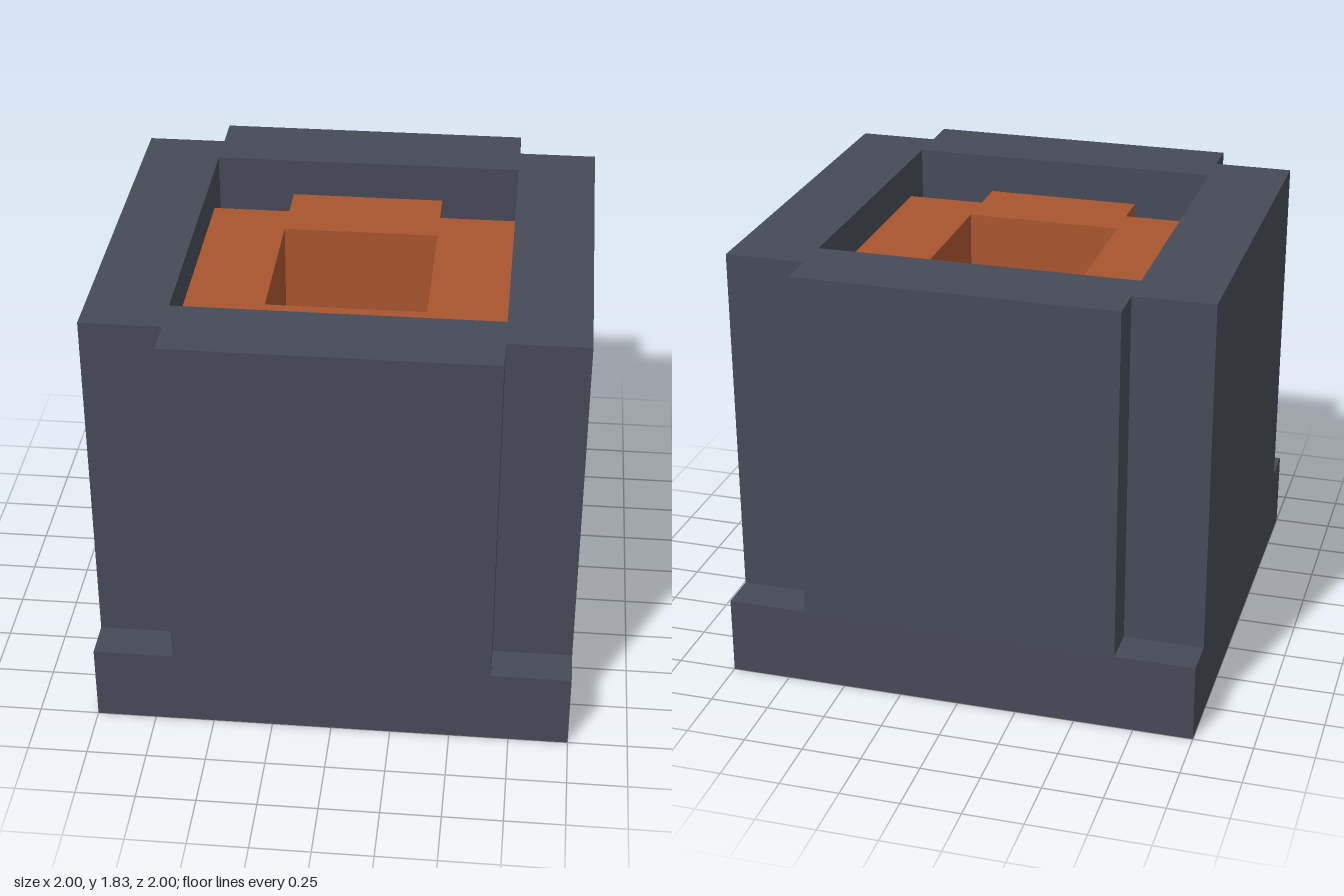
import * as THREE from 'three';

const U = 1 / 6; // model grid unit

// Plus-like outline: a rectangle of half size (w, d) with a (nx, nz) notch in each corner
function notchedShape(w, d, nx, nz, hole) {
  const a = w - nx, b = d - nz;
  const shape = new THREE.Shape([
    [-a, -d], [a, -d], [a, -b], [w, -b], [w, b], [a, b],
    [a, d], [-a, d], [-a, b], [-w, b], [-w, -b], [-a, -b],
  ].map(([x, y]) => new THREE.Vector2(x * U, y * U)));
  const h = hole * U;
  shape.holes.push(new THREE.Path([
    new THREE.Vector2(-h, -h), new THREE.Vector2(-h, h),
    new THREE.Vector2(h, h), new THREE.Vector2(h, -h),
  ]));
  return shape;
}

// Upright prism from y0 to y1
function prism(name, shape, y0, y1, material) {
  const geometry = new THREE.ExtrudeGeometry(shape, { depth: (y1 - y0) * U, bevelEnabled: false });
  geometry.rotateX(-Math.PI / 2).translate(0, y0 * U, 0);
  const mesh = new THREE.Mesh(geometry, material);
  mesh.name = name;
  return mesh;
}

export function createModel() {
  const slate = new THREE.MeshStandardMaterial({ color: 0x464a56 });
  slate.name = 'slate';
  const rust = new THREE.MeshStandardMaterial({ color: 0xa85530 });
  rust.name = 'rust';

  const group = new THREE.Group();
  group.name = 'squarePot';

  // Square foot, whose top is also the floor of the cavity
  const base = new THREE.Mesh(new THREE.BoxGeometry(12 * U, 2 * U, 12 * U), slate);
  base.name = 'base';
  base.position.y = U;
  group.add(base);

  // Outer walls with notched corners, and the recessed inner ring
  group.add(prism('outerWalls', notchedShape(6, 6, 2, 1, 4), 2, 11, slate));
  group.add(prism('innerRing', notchedShape(4, 4, 2, 1, 2), 2, 10, rust));
  return group;
}
